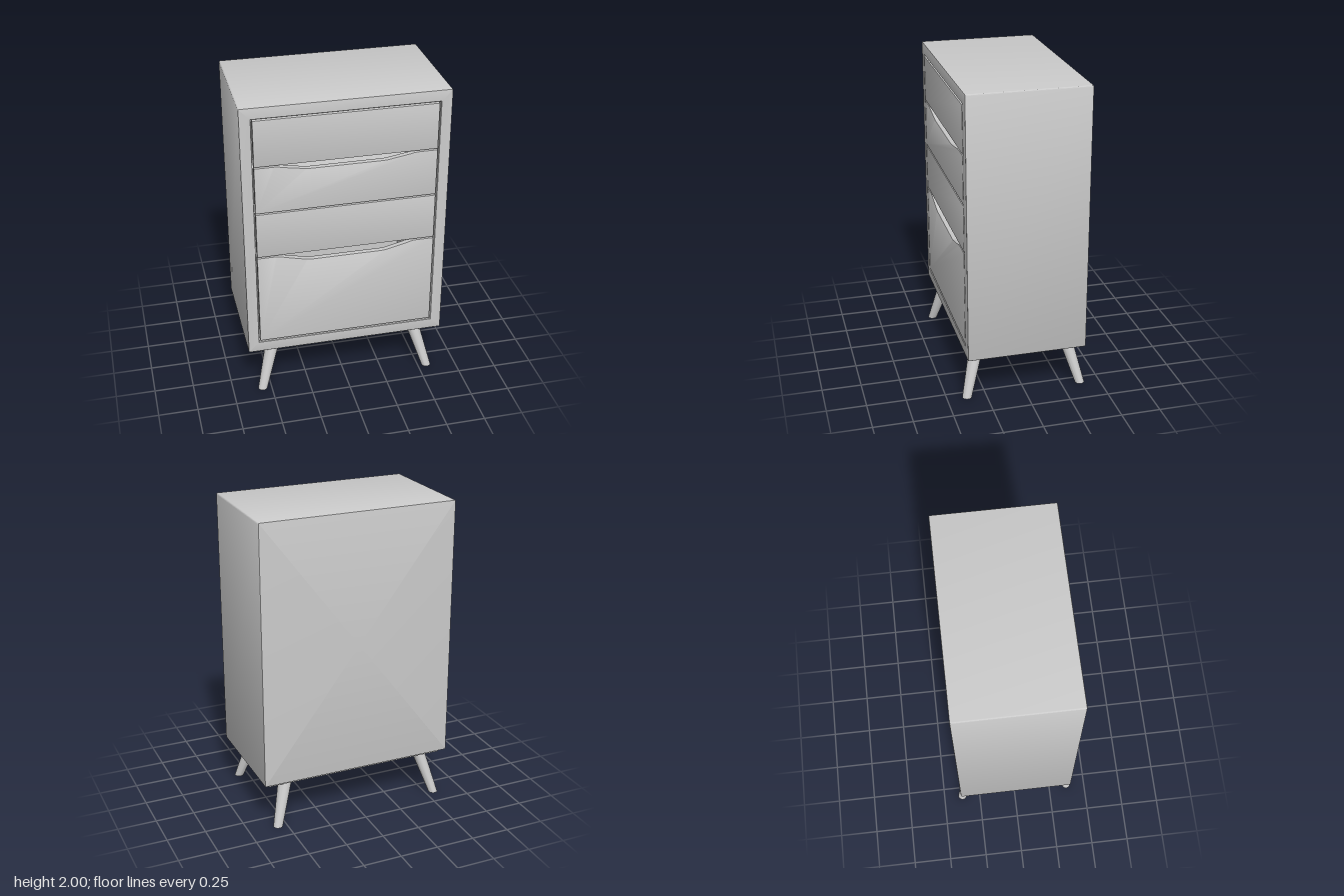
import * as THREE from 'three';
import { toCreasedNormals } from 'three/addons/utils/BufferGeometryUtils.js';

const grey = new THREE.MeshStandardMaterial({ color: 0xcccccc });

function addMesh(parent, name, geometry, x = 0, y = 0, z = 0) {
  const mesh = new THREE.Mesh(geometry, grey);
  mesh.name = name;
  mesh.position.set(x, y, z);
  parent.add(mesh);
  return mesh;
}

const box = (w, h, d) => new THREE.BoxGeometry(w, h, d);

// Rounded rectangle as a counter-clockwise loop of points at depth z
function rectLoop(hw, hh, r, z, steps = 4) {
  const loop = [];
  [[1, 1], [-1, 1], [-1, -1], [1, -1]].forEach(([sx, sy], corner) => {
    for (let i = 0; i <= steps; i++) {
      const a = (corner + i / steps) * Math.PI / 2;
      loop.push([sx * (hw - r) + r * Math.cos(a), sy * (hh - r) + r * Math.sin(a), z]);
    }
  });
  return loop;
}

// Hollow case skinned from the back centre, round the outside and into the recess
function caseGeometry() {
  const sections = [
    [0, 0, 0, -0.38], [0.632, 0.842, 0.004, -0.38], [0.638, 0.848, 0.007, -0.378],
    [0.64, 0.85, 0.009, -0.372], [0.64, 0.85, 0.009, 0.372], [0.638, 0.848, 0.007, 0.378],
    [0.632, 0.842, 0.004, 0.38], [0.572, 0.78, 0.002, 0.38], [0.57, 0.778, 0.001, 0.378],
    [0.57, 0.778, 0.001, -0.355], [0, 0, 0, -0.355],
  ];
  const loops = sections.map((s) => rectLoop(...s));
  const n = loops[0].length;
  const positions = loops.flat(2);
  const index = [];
  for (let s = 0; s < loops.length - 1; s++) {
    for (let i = 0; i < n; i++) {
      const j = (i + 1) % n;
      const a = s * n + i, b = s * n + j, c = a + n, d = b + n;
      if (s > 0) index.push(a, b, c);
      if (s < loops.length - 2) index.push(b, d, c);
      else index.push(b, c, a);
      if (s === 0) index.push(a, d, c);
    }
  }
  const geometry = new THREE.BufferGeometry();
  geometry.setAttribute('position', new THREE.Float32BufferAttribute(positions, 3));
  geometry.setIndex(index);
  return toCreasedNormals(geometry, 0.6);
}

// Drawer front, optionally with a finger scoop cut in its top edge
function frontGeometry(bottom, top, scoop) {
  const bevel = 0.003, hw = 0.562 - bevel;
  const y0 = bottom + bevel, y1 = top - bevel;
  const shape = new THREE.Shape();
  shape.moveTo(-hw, y0);
  shape.lineTo(hw, y0);
  shape.lineTo(hw, y1);
  if (scoop > 0) {
    shape.lineTo(0.45, y1);
    shape.quadraticCurveTo(0.42, y1, 0.39, y1 - scoop * 0.25);
    shape.lineTo(0.26, y1 - scoop * 0.9);
    shape.quadraticCurveTo(0.245, y1 - scoop, 0.22, y1 - scoop);
    shape.lineTo(-0.22, y1 - scoop);
    shape.quadraticCurveTo(-0.245, y1 - scoop, -0.26, y1 - scoop * 0.9);
    shape.lineTo(-0.39, y1 - scoop * 0.25);
    shape.quadraticCurveTo(-0.42, y1, -0.45, y1);
  }
  shape.lineTo(-hw, y1);
  shape.closePath();
  const geometry = new THREE.ExtrudeGeometry(shape, {
    depth: 0.029, bevelEnabled: true, bevelThickness: bevel, bevelSize: bevel,
    bevelSegments: 2, curveSegments: 5,
  });
  geometry.translate(0, 0, 0.38 - 0.029 - bevel);
  return toCreasedNormals(geometry, 0.6);
}

// Drawer with its front and an open box behind it
function makeDrawer(name, bottom, top, scoop) {
  const drawer = new THREE.Group();
  drawer.name = name;
  addMesh(drawer, 'drawerFront', frontGeometry(bottom, top, scoop));
  const h = top - bottom - 0.07, y = bottom + 0.01 + h / 2;
  for (const side of [-1, 1]) addMesh(drawer, 'drawerSide', box(0.02, h, 0.66), side * 0.54, y, 0.016);
  addMesh(drawer, 'drawerBack', box(1.06, h, 0.02), 0, y, -0.304);
  addMesh(drawer, 'drawerBottom', box(1.06, 0.015, 0.66), 0, bottom + 0.02, 0.016);
  return drawer;
}

// Tapered round leg, slanted outwards and cut level at the floor
function legGeometry(sx, sz) {
  const height = 0.29;
  const geometry = new THREE.CylinderGeometry(0.044, 0.03, height, 28);
  geometry.translate(0, height / 2, 0);
  const p = geometry.attributes.position;
  for (let i = 0; i < p.count; i++) {
    const t = p.getY(i) / height;
    p.setX(i, p.getX(i) + sx * THREE.MathUtils.lerp(0.557, 0.473, t));
    p.setZ(i, p.getZ(i) + sz * THREE.MathUtils.lerp(0.372, 0.293, t));
  }
  return toCreasedNormals(geometry, 0.6);
}

export function createModel() {
  const model = new THREE.Group();
  model.name = 'chestOfDrawers';

  addMesh(model, 'case', caseGeometry(), 0, 1.15, 0);
  addMesh(model, 'basePanel', box(1.2, 0.03, 0.7), 0, 0.295, 0);

  // Drawers from top to bottom
  const drawers = [
    ['topDrawer', 1.62, 1.918, 0],
    ['upperMiddleDrawer', 1.309, 1.612, 0.033],
    ['lowerMiddleDrawer', 1.003, 1.301, 0],
    ['bottomDrawer', 0.382, 0.995, 0.047],
  ];
  for (const d of drawers) model.add(makeDrawer(...d));

  for (const sx of [-1, 1]) {
    for (const sz of [-1, 1]) {
      addMesh(model, `${sz > 0 ? 'front' : 'back'}${sx > 0 ? 'Left' : 'Right'}Leg`, legGeometry(sx, sz));
    }
  }
  return model;
}
